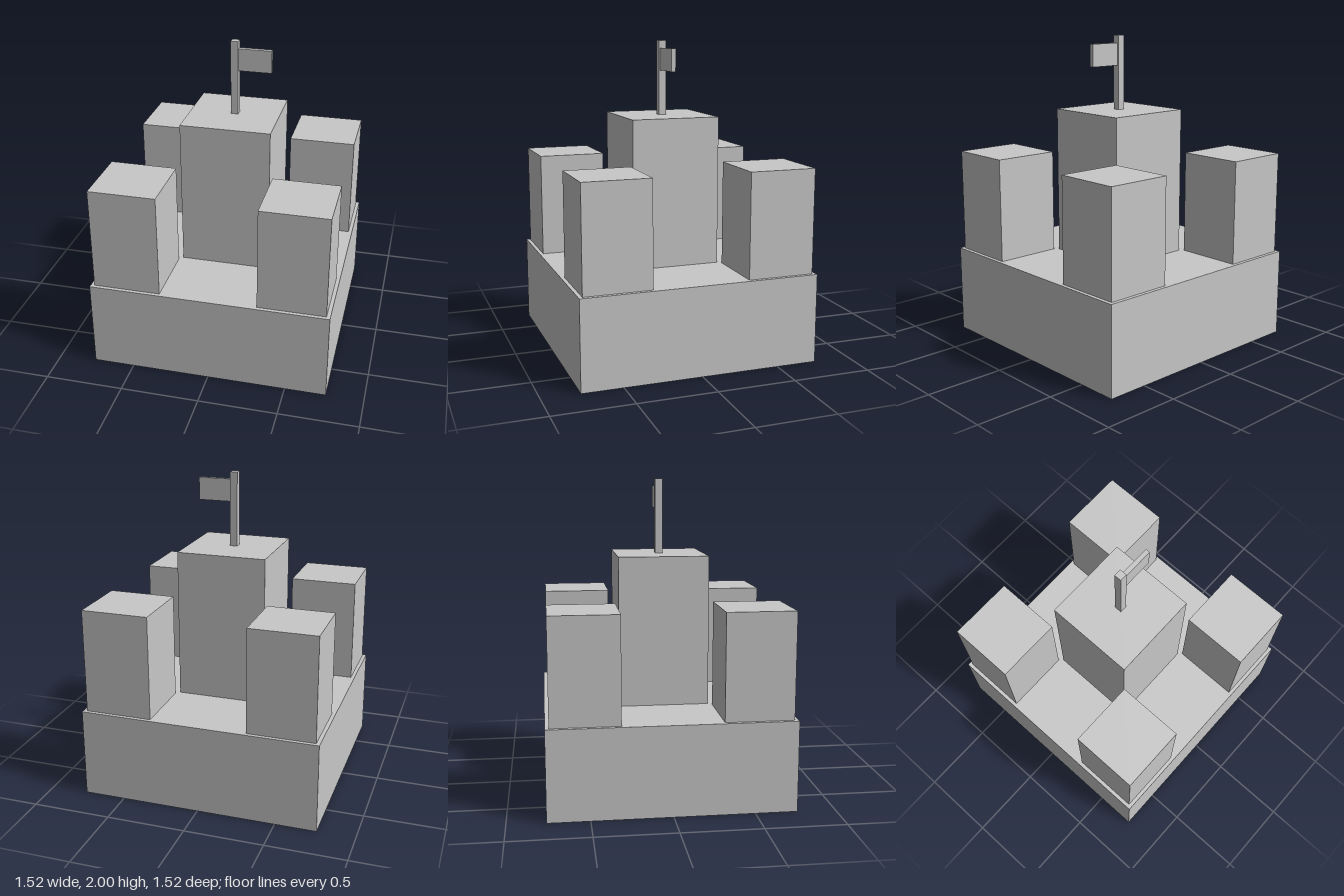
import * as THREE from 'three';

const U = 2 / 84; // modelling unit: the whole castle is 84 units tall

const stone = new THREE.MeshStandardMaterial({ color: 0xc8c8c8, side: THREE.DoubleSide });
stone.name = 'light stone grey';

// Block standing on height y, with its underside left open
function openBlock(name, [w, h, d], [x, y, z]) {
  const geometry = new THREE.BoxGeometry(w * U, h * U, d * U);
  const index = Array.from(geometry.index.array);
  index.splice(18, 6); // drop the bottom face
  geometry.setIndex(index);
  geometry.clearGroups();
  geometry.translate(x * U, (y + h / 2) * U, z * U);
  const mesh = new THREE.Mesh(geometry, stone);
  mesh.name = name;
  return mesh;
}

export function createModel() {
  const castle = new THREE.Group();
  castle.name = 'castle';

  // Hollow base and central keep
  castle.add(openBlock('base', [64, 24, 64], [0, 0, 0]));
  castle.add(openBlock('keep', [24, 40, 24], [0, 24, 0]));

  // Four corner towers
  for (const sx of [-1, 1]) {
    for (const sz of [-1, 1]) {
      const name = (sz > 0 ? 'front' : 'back') + (sx > 0 ? 'Left' : 'Right') + 'Tower';
      castle.add(openBlock(name, [18, 28, 18], [sx * 22, 24, sz * 22]));
    }
  }

  // Flagpole and flag
  castle.add(openBlock('flagpole', [2, 20, 2], [0, 64, 0]));
  castle.add(openBlock('flag', [8.8, 6, 1.2], [5.4, 76, 0]));

  return castle;
}
